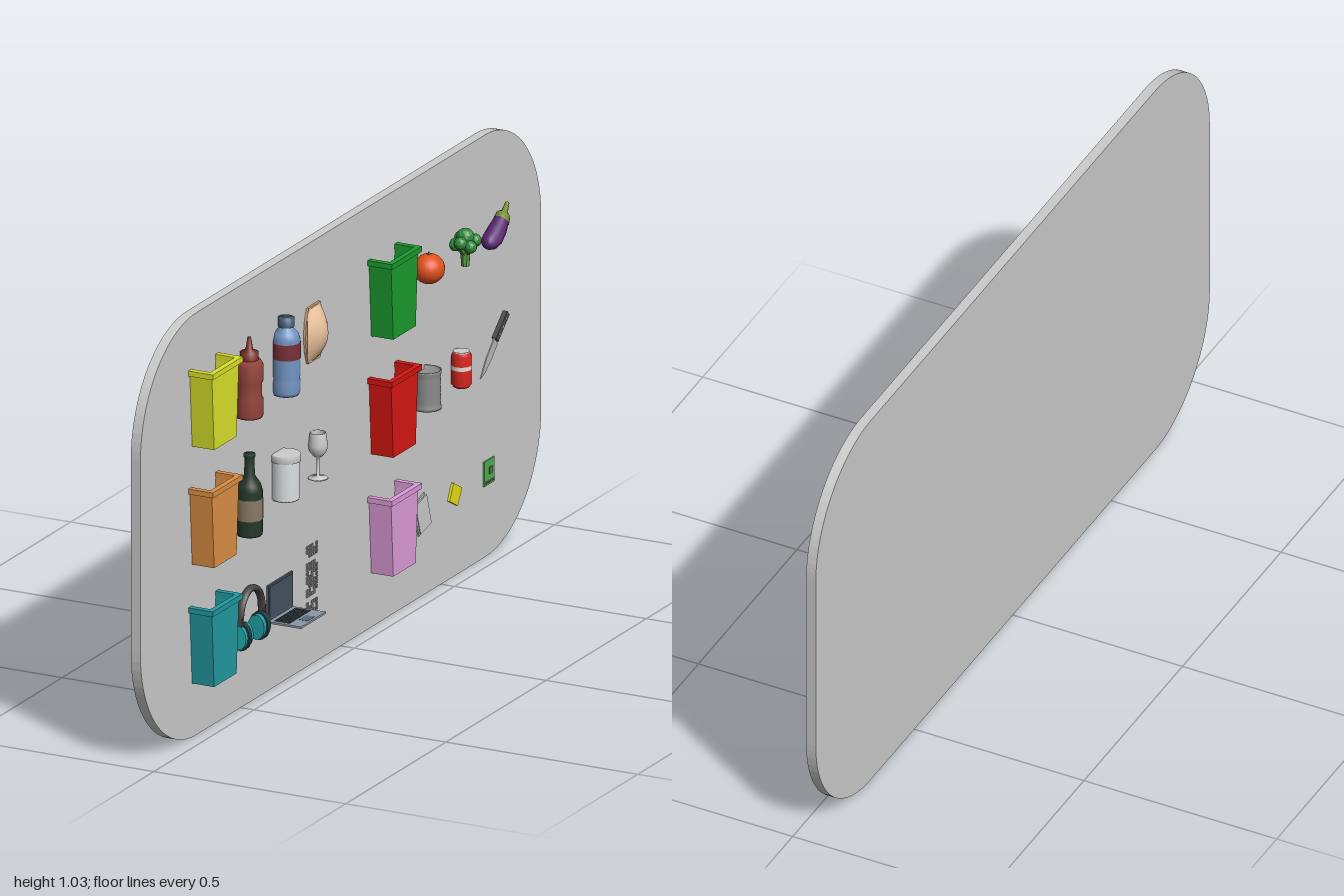
import * as THREE from 'three';

const V2 = (p) => new THREE.Vector2(p[0], p[1]);
const shapeOf = (pts) => new THREE.Shape(pts.map(V2));

// The display is built facing +z, then turned to face +x.
export function createModel() {
  const root = new THREE.Group();
  const display = new THREE.Group();
  display.name = 'display';
  display.rotation.y = Math.PI / 2;
  root.add(display);
  const FACE = -0.035, MID = -0.015;

  const group = (name, u, y, z = MID, tilt = 0) => {
    const g = new THREE.Group();
    g.name = name;
    g.position.set(u, y, z);
    g.rotation.z = tilt;
    display.add(g);
    return g;
  };
  const add = (parent, name, geo, color = 0xcccccc, pos = [0, 0, 0], flat = false) => {
    const m = new THREE.Mesh(geo, new THREE.MeshStandardMaterial({ color, flatShading: flat, side: THREE.DoubleSide }));
    m.name = name;
    m.position.set(...pos);
    parent.add(m);
    return m;
  };
  const box = (parent, name, size, pos, color) => add(parent, name, new THREE.BoxGeometry(...size), color, pos);
  const extrude = (pts, depth) => new THREE.ExtrudeGeometry(shapeOf(pts), { depth, bevelEnabled: false });
  // each profile segment gets its own ring so that edges stay crisp
  const lathe = (parent, name, pts, color, seg = 20) => add(parent, name, new THREE.LatheGeometry(pts.map(V2), seg), color);

  // Rounded board
  const s = new THREE.Shape(), R = 0.28, H = 1.03;
  s.absarc(1 - R, R, R, -Math.PI / 2, 0);
  s.absarc(1 - R, H - R, R, 0, Math.PI / 2);
  s.absarc(R - 1, H - R, R, Math.PI / 2, Math.PI);
  s.absarc(R - 1, R, R, Math.PI, Math.PI * 1.5);
  s.closePath();
  add(display, 'board', new THREE.ExtrudeGeometry(s, { depth: 0.025, bevelEnabled: false, curveSegments: 10 }), 0xcccccc, [0, 0, -0.06]);

  // Bins: tapered U channel, front wall and a rim, open at the top
  const bin = (name, u, y, color) => {
    const g = group(name, u, y, FACE), h = 0.19, a = 0.056, b = 0.068, t = 0.005;
    add(g, 'sidesAndFloor', extrude([[-a, 0], [a, 0], [b, h], [b - t, h], [a - t, t], [t - a, t], [t - b, h], [-b, h]], 0.057), color);
    add(g, 'frontWall', extrude([[-a, 0], [a, 0], [b, h], [-b, h]], t), color, [0, 0, 0.0525]);
    const w = 0.075, d = 0.064, i = 0.06;
    const rim = extrude([[-w, 0], [-w, -d], [w, -d], [w, 0], [i, 0], [i, -d + 0.014], [-i, -d + 0.014], [-i, 0]], 0.013);
    rim.rotateX(-Math.PI / 2).scale(1, 1, 1);
    add(g, 'rim', rim, color, [0, h - 0.013, 0]);
  };
  [['yellowBin', -0.686, 0.71, 0xdae22a], ['orangeBin', -0.686, 0.422, 0xdc8f45], ['tealBin', -0.686, 0.132, 0x229aa0],
    ['greenBin', 0.208, 0.71, 0x1a9c2e], ['redBin', 0.208, 0.422, 0xd61712], ['pinkBin', 0.208, 0.132, 0xdc9cd8]]
    .forEach((b) => bin(...b));

  // Sauce bottle
  const sauce = group('sauceBottle', -0.495, 0.712);
  lathe(sauce, 'body', [[0, 0], [0.03, 0], [0.033, 0.006], [0.033, 0.045], [0.03, 0.05], [0.03, 0.085], [0.033, 0.09], [0.033, 0.128], [0.026, 0.14], [0, 0.14]], 0x93453c);
  lathe(sauce, 'cap', [[0.022, 0.138], [0.022, 0.158], [0.009, 0.164], [0.004, 0.194], [0, 0.194]], 0x7a2c26);

  // Water bottle
  const water = group('waterBottle', -0.311, 0.712);
  lathe(water, 'body', [[0, 0], [0.03, 0], [0.033, 0.008], [0.033, 0.035], [0.031, 0.04], [0.033, 0.045], [0.033, 0.135], [0.028, 0.15], [0.016, 0.163], [0.016, 0.17]], 0x7396c4);
  lathe(water, 'label', [[0.033, 0.09], [0.0345, 0.09], [0.0345, 0.128], [0.033, 0.128]], 0x7a3038);
  lathe(water, 'cap', [[0.019, 0.165], [0.019, 0.187], [0, 0.187]], 0x3f5870);

  // Bulging paper pack, narrower at its ends
  const pack = group('paperPack', -0.142, 0.808, FACE);
  const packShape = [[-0.03, -0.068], [0.03, -0.068], [0.041, -0.035], [0.045, 0], [0.041, 0.035], [0.03, 0.068], [-0.03, 0.068], [-0.041, 0.035], [-0.045, 0], [-0.041, -0.035]];
  const packGeo = new THREE.PlaneGeometry(2, 2, 6, 8);
  const pp = packGeo.attributes.position;
  for (let i = 0; i < pp.count; i++) {
    const x = pp.getX(i), y = pp.getY(i);
    pp.setXYZ(i, x * (0.045 - 0.015 * y * y), y * 0.068, 0.003 + 0.034 * (1 - y * y) * (1 - 0.75 * x * x));
  }
  packGeo.computeVertexNormals();
  add(pack, 'front', packGeo, 0xe8c09a);
  add(pack, 'back', extrude(packShape, 0.006), 0xd2a67c);

  // Tomato
  const tomato = group('tomato', 0.396, 0.805, -0.012);
  add(tomato, 'fruit', new THREE.SphereGeometry(0.039, 20, 14).scale(1, 0.92, 0.95), 0xe0501c);
  add(tomato, 'stem', new THREE.ConeGeometry(0.01, 0.012, 5), 0x3c5a20, [0, 0.036, 0], true);

  // Broccoli
  const broccoli = group('broccoli', 0.566, 0.762, -0.006);
  add(broccoli, 'stalk', new THREE.CylinderGeometry(0.013, 0.01, 0.045, 8), 0x5f9f45, [0, 0.0225, 0], true);
  for (let i = 0; i < 6; i++) {
    const a = i * Math.PI / 3;
    add(broccoli, 'floret', new THREE.IcosahedronGeometry(0.016, 1), 0x2f8a3a, [Math.cos(a) * 0.024, 0.052 + (i % 2) * 0.009, Math.sin(a) * 0.022], true);
    const branch = add(broccoli, 'branch', new THREE.CylinderGeometry(0.006, 0.005, 0.028, 6), 0x5f9f45, [Math.cos(a) * 0.013, 0.038, Math.sin(a) * 0.013], true);
    branch.rotation.set(Math.sin(a) * 0.7, 0, -Math.cos(a) * 0.7);
  }
  add(broccoli, 'crown', new THREE.IcosahedronGeometry(0.022, 1), 0x2f8a3a, [0, 0.07, 0], true);

  // Aubergine, a bent lathe
  const aubergine = group('aubergine', 0.742, 0.799, -0.016, -0.95);
  const bent = (name, pts, color) => {
    const geo = new THREE.LatheGeometry(pts.map(V2), 12), p = geo.attributes.position;
    for (let i = 0; i < p.count; i++) p.setX(i, p.getX(i) - 2.6 * p.getY(i) ** 2 + 0.006);
    geo.computeVertexNormals();
    add(aubergine, name, geo, color);
  };
  bent('fruit', [[0, -0.06], [0.012, -0.057], [0.02, -0.047], [0.0235, -0.03], [0.022, 0], [0.018, 0.025], [0.015, 0.04]], 0x5a2672);
  bent('cap', [[0.0195, 0.024], [0.017, 0.04], [0.008, 0.048], [0.005, 0.07], [0, 0.07]], 0x6f8a2c);

  // Wine bottle
  const wine = group('wineBottle', -0.494, 0.424);
  lathe(wine, 'glass', [[0, 0], [0.029, 0], [0.031, 0.004], [0.031, 0.108], [0.026, 0.125], [0.013, 0.145], [0.011, 0.19], [0.0135, 0.19], [0.0135, 0.198], [0, 0.198]], 0x24382a);
  lathe(wine, 'label', [[0.031, 0.04], [0.0322, 0.04], [0.0322, 0.09], [0.031, 0.09]], 0x8a7a66);

  // Jar with lid
  const jar = group('jar', -0.315, 0.457);
  lathe(jar, 'body', [[0, 0], [0.031, 0], [0.034, 0.004], [0.034, 0.098]], 0xdde2e2);
  lathe(jar, 'lid', [[0.034, 0.095], [0.037, 0.095], [0.037, 0.11], [0.034, 0.113], [0, 0.113]], 0xcccccc);

  // Stemmed glass
  const glass = group('stemmedGlass', -0.152, 0.458);
  lathe(glass, 'glassBody', [[0, 0], [0.024, 0], [0.022, 0.003], [0.004, 0.007], [0.003, 0.05], [0.012, 0.056], [0.021, 0.068], [0.023, 0.082], [0.019, 0.112], [0.017, 0.112], [0.02, 0.082], [0.014, 0.064], [0, 0.056]], 0xcccccc);

  // Open tin with ribs
  const tin = group('tin', 0.392, 0.466);
  const ribs = [];
  for (let i = 0; i <= 8; i++) ribs.push([i % 2 ? 0.0315 : 0.033, 0.008 + i * 0.0095]);
  lathe(tin, 'wall', [[0, 0], [0.034, 0], [0.034, 0.005], ...ribs, [0.034, 0.09], [0.034, 0.094], [0.031, 0.094], [0.031, 0.085], [0, 0.085]], 0x8c8c8c);

  // Drink can
  const can = group('drinkCan', 0.564, 0.466);
  lathe(can, 'can', [[0, 0.003], [0.018, 0], [0.024, 0.008], [0.024, 0.077], [0.019, 0.086]], 0xd8281e);
  lathe(can, 'lid', [[0.0195, 0.084], [0.0195, 0.088], [0.017, 0.085], [0, 0.085]], 0xcccccc);
  lathe(can, 'band', [[0.0245, 0.044], [0.0245, 0.054]], 0xe8dede);

  // Knife
  const knife = group('knife', 0.733, 0.515, FACE + 0.012, 0.72);
  add(knife, 'blade', extrude([[-0.09, -0.006], [-0.07, -0.014], [-0.03, -0.018], [0.015, -0.016], [0.015, 0.008], [-0.04, 0.006]], 0.003), 0xb8b8b8);
  box(knife, 'handle', [0.075, 0.016, 0.012], [0.052, 0.001, 0.0015], 0x4a4a4a);
  for (const x of [0.03, 0.052, 0.074]) add(knife, 'rivet', new THREE.CylinderGeometry(0.003, 0.003, 0.014, 8).rotateX(Math.PI / 2), 0xb8b8b8, [x, 0.001, 0.0015]);

  // Headphones
  const phones = group('headphones', -0.487, 0.23);
  add(phones, 'band', new THREE.TorusGeometry(0.054, 0.007, 8, 24, Math.PI).scale(1, 1.12, 1.5), 0x4a4644);
  for (const side of [-1, 1]) {
    box(phones, 'arm', [0.008, 0.035, 0.016], [side * 0.055, -0.012, 0], 0x4a4644);
    const disc = (r, w) => new THREE.CylinderGeometry(r, r, w, 16).rotateZ(Math.PI / 2).scale(1, 1.45, 1);
    add(phones, 'cup', disc(0.024, 0.014), 0x2a3c40, [side * 0.046, -0.043, 0]);
    add(phones, 'cupCover', disc(0.02, 0.01), 0x1fb0b4, [side * 0.058, -0.043, 0]);
    add(phones, 'cushion', disc(0.021, 0.014), 0x1fa0a6, [side * 0.033, -0.043, 0]);
  }

  // Laptop, keyboard deck reaching out from the board
  const laptop = group('laptop', -0.309, 0.167, FACE);
  box(laptop, 'deck', [0.124, 0.005, 0.09], [0, 0.0025, 0.045], 0x8a98a6);
  box(laptop, 'lid', [0.124, 0.09, 0.005], [0, 0.046, 0.0025], 0x4a5a68);
  box(laptop, 'screen', [0.114, 0.078, 0.002], [0, 0.048, 0.0052], 0x45525e);
  box(laptop, 'touchpad', [0.036, 0.001, 0.022], [0, 0.0052, 0.073], 0x5e6c78);
  for (let r = 0; r < 4; r++) for (let c = 0; c < 10; c++)
    box(laptop, 'key', [0.008, 0.0015, 0.008], [(c - 4.5) * 0.0108, 0.0055, 0.02 + r * 0.0105], 0x39444e);

  // Upright keyboard: key blocks standing on the board
  const keyboard = group('keyboard', -0.146, 0.205, FACE);
  for (let r = 0; r < 17; r++) {
    if (r === 4 || r === 13) continue;
    for (let c = 0; c < 5; c++) {
      if ((r * 3 + c * 5) % 7 === 0) continue;
      box(keyboard, 'key', [0.0075, 0.0075, 0.004], [(c - 2) * 0.0115, (r - 8) * 0.0106, 0.001], 0x9c9c9c);
    }
  }

  // Small flat items
  const sheet = group('paperSheet', 0.396, 0.202, FACE + 0.003, 0.3);
  box(sheet, 'page', [0.056, 0.086, 0.003], [0, 0, 0], 0xcccccc);
  box(sheet, 'fold', [0.05, 0.08, 0.003], [0.002, 0, 0.004], 0xc4c4c4).rotation.y = -0.08;

  const note = group('stickyNote', 0.563, 0.201, FACE + 0.003, -0.5);
  box(note, 'pad', [0.048, 0.044, 0.006], [0, 0, 0], 0xe6dc12);

  const circuit = group('circuitBoard', 0.733, 0.205, FACE + 0.003);
  box(circuit, 'plate', [0.05, 0.06, 0.004], [0, 0, 0], 0x4caf50);
  box(circuit, 'chip', [0.016, 0.016, 0.004], [0.004, 0.004, 0.003], 0x5c7a5c);
  for (let i = 0; i < 4; i++) box(circuit, 'contact', [0.006, 0.005, 0.003], [-0.018 + i * 0.012, -0.022, 0.003], 0x7a9a7a);

  return root;
}
